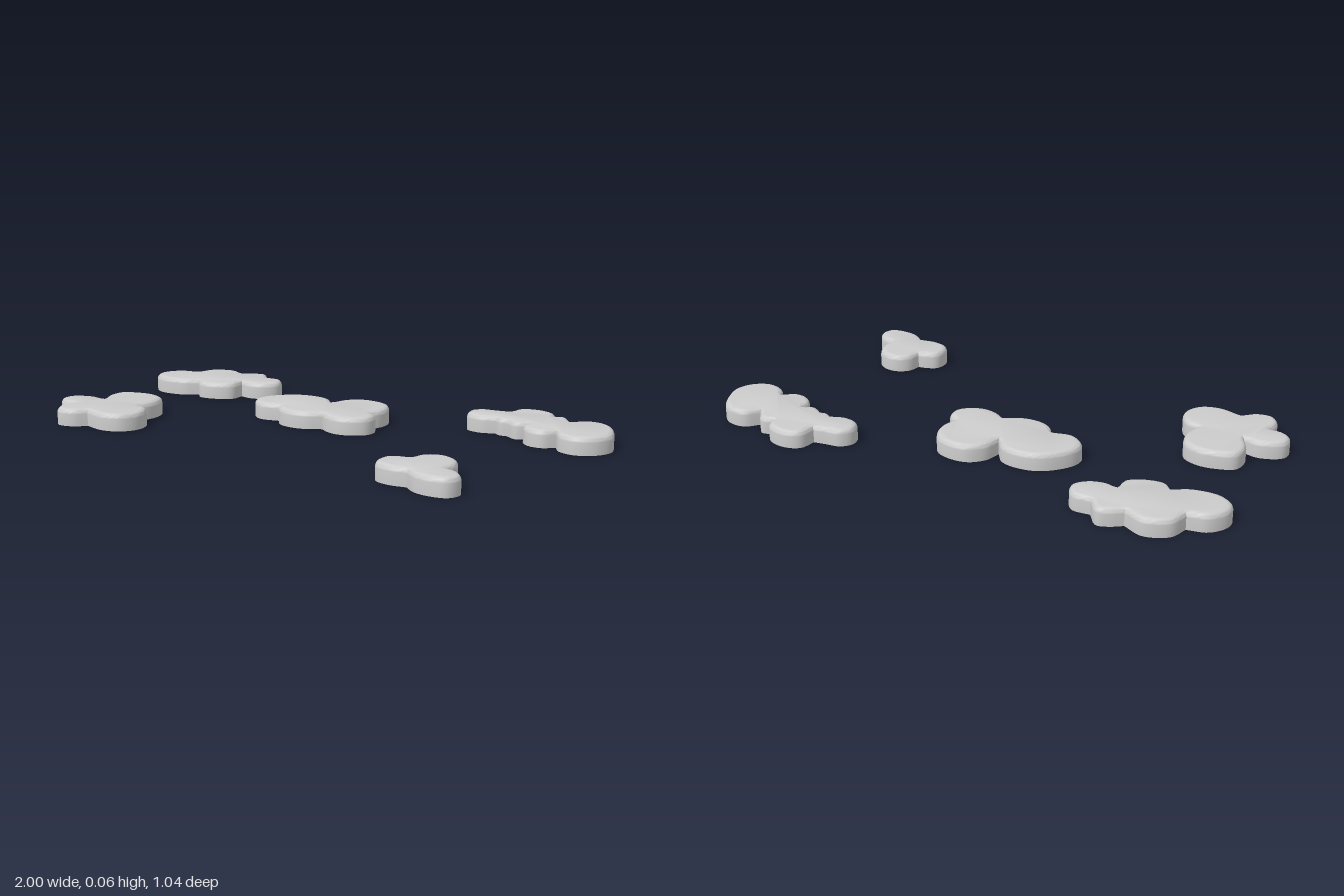
import * as THREE from 'three';
import { toCreasedNormals } from 'three/addons/utils/BufferGeometryUtils.js';

const HEIGHT = 0.065;
const ROUND = 0.02;

// Each cloud is a ring of lobes, clockwise from above, as x, z pairs in hundredths.
// A lobe runs from its first point (a notch) to the first point of the next lobe.
const CLOUDS = {
  backRightCloud: [
    [-89, -34, -87, -41, -79, -45],
    [-71, -42, -67, -45, -63, -46.3],
    [-58, -41, -51, -41, -47.5, -35, -51, -30, -57, -28],
    [-61.5, -29, -61.5, -23, -67, -19, -74, -18],
    [-77.5, -21, -83, -17.5, -93, -16.5, -99.3, -20.5, -100, -26, -96, -32],
  ],
  centreCloud: [
    [-9, -18, -7.5, -24.5, -3, -29, 3, -30, 10, -28, 14, -22, 14.5, -16.5],
    [13, -12, 17, -9.5, 17.6, -4, 14, 0, 8.5, 2, 3, 1],
    [-1, -1.5, -6.5, 2, -13, 3, -19, 1],
    [-22, -3, -30, -1.5, -36, -6, -36.5, -11, -33, -17.5, -27, -22.5, -19, -24, -13, -22.5],
  ],
  backLeftCloud: [
    [53, -44, 54, -50, 58, -52.5, 64, -52.5, 68.5, -50],
    [69.5, -46, 74, -47.5],
    [79, -42, 83, -46.5, 89, -47, 94, -44, 98, -37.5, 99.8, -31, 97, -24.5, 91, -21, 84.5, -22.5],
    [81, -27, 77.5, -23.5, 72, -23.5, 68, -27],
    [67.5, -32, 63.5, -29.5],
    [58.5, -32, 56, -31.5],
    [53.5, -33, 48, -31, 42, -32.5, 40, -38, 43, -42, 48, -43],
  ],
  frontRightCloud: [
    [-82.5, 28, -86, 21.5, -85.5, 14.5, -80, 11.5, -73, 10.5, -66.5, 13, -63.5, 19, -63.5, 24.5],
    [-65, 28.5, -59.5, 29.5, -55.5, 35, -55, 39.5, -58, 45, -65, 47.5],
    [-74, 45.5, -78, 49.5, -84, 50.5, -87.5, 47, -88, 43.5],
    [-87, 39.5, -92.5, 39.5, -96.5, 36.5, -96.5, 31.5, -93, 28.5, -88, 27],
  ],
  frontLeftCloud: [
    [60.5, 34, 61.5, 29, 65, 26, 69.5, 25.5, 74.5, 28, 77, 32.5],
    [77.5, 39, 82.5, 40.5, 86, 45, 84.5, 50, 78.5, 51.5, 72.5, 50.5],
    [67.5, 47, 61.5, 48, 55.5, 46.5, 53, 42.5, 53.5, 37, 56.5, 35],
  ],
};

// Smooth curve through every lobe, with a sharp notch where two lobes meet
function outline(lobes) {
  const ring = [];
  lobes.forEach((lobe, k) => {
    const flat = [...lobe, ...lobes[(k + 1) % lobes.length].slice(0, 2)];
    const pts = [];
    for (let i = 0; i < flat.length; i += 2) {
      pts.push(new THREE.Vector3(flat[i] / 100, 0, flat[i + 1] / 100));
    }
    const curve = new THREE.CatmullRomCurve3(pts);
    const steps = Math.max(6, Math.round(curve.getLength() / 0.013));
    ring.push(...curve.getSpacedPoints(steps).slice(0, -1));
  });
  return ring;
}

// Hollow shell: upright wall, rounded upper edge, flat top, open underneath
function cloudGeometry(lobes) {
  const ring = outline(lobes);
  const n = ring.length;
  const normals = ring.map((p, i) => {
    const a = ring[(i + n - 1) % n];
    const b = ring[(i + 1) % n];
    return new THREE.Vector3(b.z - a.z, 0, a.x - b.x).normalize();
  });

  // Levels as [inset, y]
  const levels = [[0, 0]];
  for (let i = 0; i <= 5; i++) {
    const t = (i / 5) * Math.PI / 2;
    levels.push([ROUND * (1 - Math.cos(t)), HEIGHT - ROUND * (1 - Math.sin(t))]);
  }

  const position = [];
  const index = [];
  levels.forEach(([inset, y], level) => {
    for (let i = 0; i < n; i++) {
      position.push(ring[i].x - normals[i].x * inset, y, ring[i].z - normals[i].z * inset);
      if (level === 0) continue;
      const a = (level - 1) * n + i;
      const b = (level - 1) * n + (i + 1) % n;
      index.push(b, a, a + n, b, a + n, b + n);
    }
  });

  // Flat top on the last level, wound to face up
  const start = (levels.length - 1) * n;
  const top = ring.map((p, i) => new THREE.Vector2(
    p.x - normals[i].x * ROUND, p.z - normals[i].z * ROUND));
  for (const [a, b, c] of THREE.ShapeUtils.triangulateShape(top, [])) {
    const up = THREE.ShapeUtils.area([top[a], top[b], top[c]]) < 0;
    index.push(start + a, start + (up ? b : c), start + (up ? c : b));
  }

  const geometry = new THREE.BufferGeometry();
  geometry.setAttribute('position', new THREE.Float32BufferAttribute(position, 3));
  geometry.setIndex(index);
  return toCreasedNormals(geometry, 0.7);
}

export function createModel() {
  const group = new THREE.Group();
  group.name = 'clouds';
  const material = new THREE.MeshStandardMaterial({ color: 0xcccccc, side: THREE.DoubleSide });
  for (const [name, lobes] of Object.entries(CLOUDS)) {
    const mesh = new THREE.Mesh(cloudGeometry(lobes), material);
    mesh.name = name;
    group.add(mesh);
  }
  return group;
}
